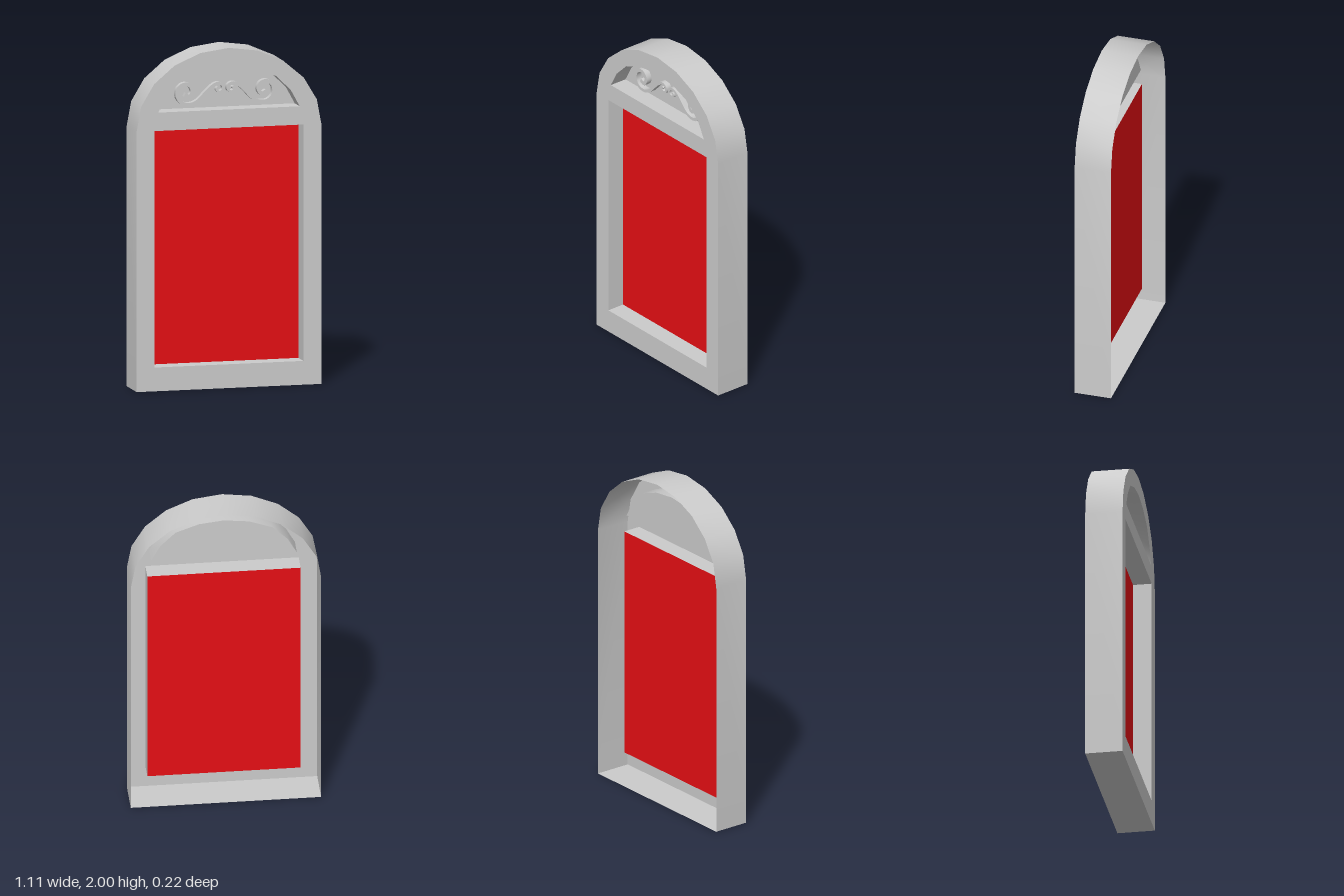
import * as THREE from 'three';
import { toCreasedNormals } from 'three/addons/utils/BufferGeometryUtils.js';

const grey = new THREE.MeshStandardMaterial({ color: 0xcccccc, side: THREE.DoubleSide });
const red = new THREE.MeshStandardMaterial({ color: 0xe60f14, side: THREE.DoubleSide });
const FRONT = 0.11, BACK = -0.11, PANEL = 0;
const v2 = (x, y) => new THREE.Vector2(x, y);

// Thin band following a closed outline from z0 to z1
function band(points, z0, z1) {
  const pos = [];
  points.forEach((a, i) => {
    const b = points[(i + 1) % points.length];
    pos.push(a.x, a.y, z0, b.x, b.y, z0, b.x, b.y, z1);
    pos.push(a.x, a.y, z0, b.x, b.y, z1, a.x, a.y, z1);
  });
  const geo = new THREE.BufferGeometry();
  geo.setAttribute('position', new THREE.Float32BufferAttribute(pos, 3));
  return toCreasedNormals(geo, 0.7);
}

const flat = (shape, z) => new THREE.ShapeGeometry(shape).translate(0, 0, z);

// Tapered ribbon along a curve, as a closed shape
function ribbon(curve, w0, w1, n) {
  const left = [], right = [];
  for (let i = 0; i <= n; i++) {
    const t = i / n, p = curve.getPoint(t), d = curve.getTangent(t);
    const w = THREE.MathUtils.lerp(w0, w1, t) / 2;
    left.push(v2(p.x - d.y * w, p.y + d.x * w));
    right.push(v2(p.x + d.y * w, p.y - d.x * w));
  }
  return new THREE.Shape([...left, ...right.reverse()]);
}

export function createModel() {
  const model = new THREE.Group();
  const add = (name, geo, mat = grey) => {
    const mesh = new THREE.Mesh(geo, mat);
    mesh.name = name;
    model.add(mesh);
    return mesh;
  };

  // Outline: straight sides under a ten-sided half ellipse
  const outline = [v2(-0.555, 0), v2(0.555, 0)];
  for (let i = 0; i <= 10; i++) {
    const a = (i / 10) * Math.PI;
    outline.push(v2(0.555 * Math.cos(a), 1.53 + 0.47 * Math.sin(a)));
  }

  // Openings for the window and the arched recess
  const windowPts = [v2(-0.447, 0.14), v2(0.447, 0.14), v2(0.447, 1.53), v2(-0.447, 1.53)];
  const half = [[0.425, 1.638], [0.372, 1.735], [0.283, 1.823], [0.146, 1.873]];
  const archPts = [
    ...half.map(([x, y]) => v2(x, y)),
    v2(0, 1.89),
    ...half.slice().reverse().map(([x, y]) => v2(-x, y)),
  ];

  // Front plate and the open-backed outer shell
  const plate = new THREE.Shape(outline);
  plate.holes.push(new THREE.Path(windowPts), new THREE.Path(archPts));
  add('frontPlate', flat(plate, FRONT));
  add('outerShell', band(outline, BACK, FRONT));

  // Recess walls and their panels
  add('windowReveal', band(windowPts.slice().reverse(), PANEL, FRONT));
  add('windowPanel', flat(new THREE.Shape(windowPts), PANEL), red);
  add('archReveal', band(archPts.slice().reverse(), PANEL, FRONT));
  add('archPanel', flat(new THREE.Shape(archPts), PANEL));

  // Pair of raised scrolls: large curl, sloping stem, small curl
  const path = [
    [-0.245, 1.722], [-0.217, 1.71], [-0.198, 1.738], [-0.214, 1.775], [-0.25, 1.783],
    [-0.284, 1.758], [-0.288, 1.708], [-0.258, 1.672], [-0.21, 1.665], [-0.165, 1.685],
    [-0.12, 1.73], [-0.08, 1.767], [-0.048, 1.782], [-0.018, 1.77], [-0.014, 1.745],
    [-0.034, 1.73], [-0.053, 1.744], [-0.042, 1.76],
  ];
  for (const side of [1, -1]) {
    const pts = path.map(([x, y]) => new THREE.Vector3(x * side, y, 0));
    const shape = ribbon(new THREE.CatmullRomCurve3(pts), 0.024, 0.012, 64);
    const geo = new THREE.ExtrudeGeometry(shape, { depth: 0.035, bevelEnabled: false });
    add(side > 0 ? 'rightScroll' : 'leftScroll', toCreasedNormals(geo, 0.7));
  }
  return model;
}
